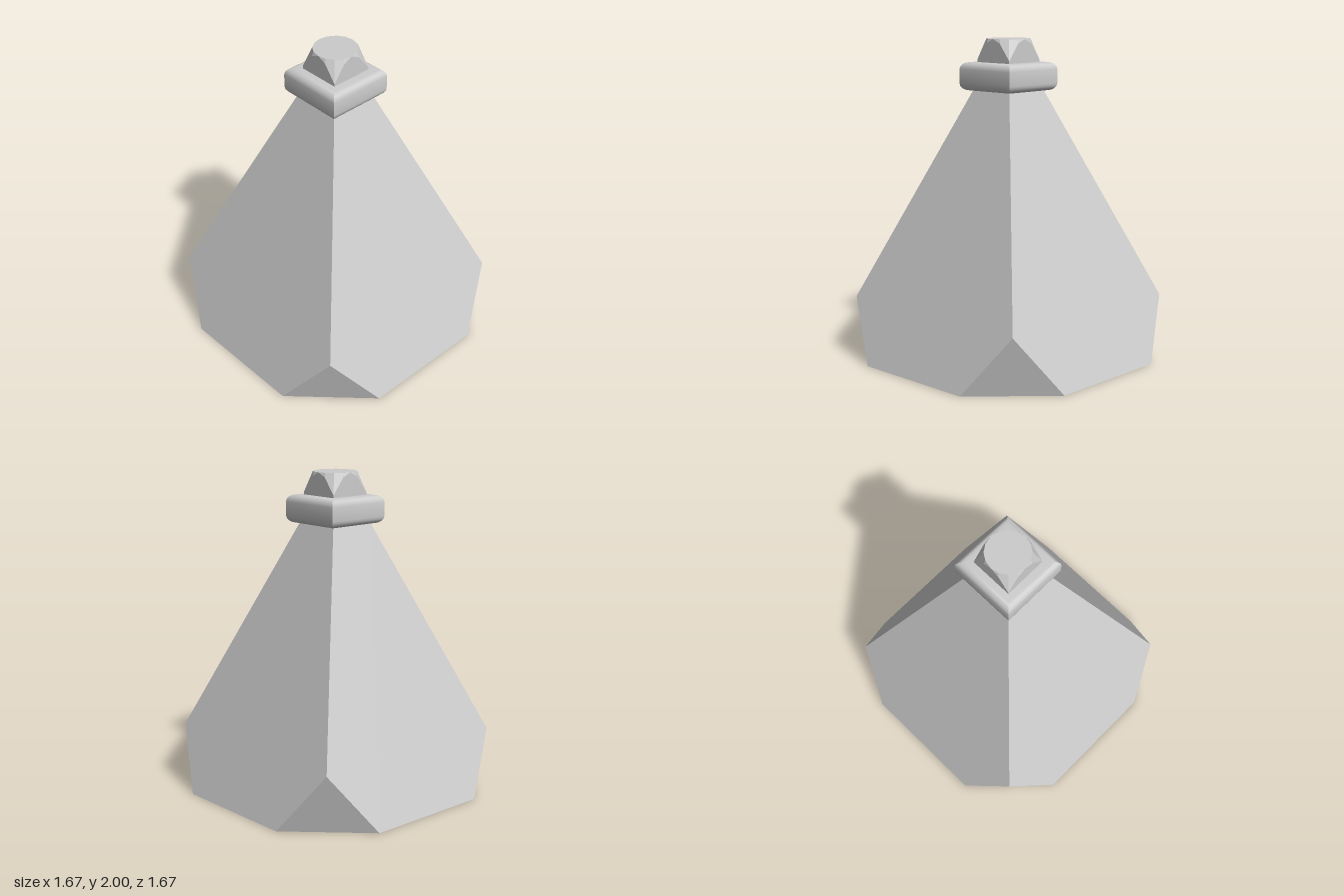
import * as THREE from 'three';
import { toCreasedNormals } from 'three/addons/utils/BufferGeometryUtils.js';

const material = new THREE.MeshStandardMaterial({ color: 0xcccccc });

// Fan of triangles over a convex polygon, corners counter-clockwise from outside
function addFace(out, ...points) {
  for (let i = 1; i < points.length - 1; i++) out.push(...points[0], ...points[i], ...points[i + 1]);
}

// Quarter turns about the vertical axis
function turn([x, y, z], quarter) {
  for (let i = 0; i < quarter; i++) [x, z] = [z, -x];
  return [x, y, z];
}

function meshFrom(positions, name) {
  const geometry = new THREE.BufferGeometry();
  geometry.setAttribute('position', new THREE.Float32BufferAttribute(positions, 3));
  geometry.computeVertexNormals();
  const mesh = new THREE.Mesh(geometry, material);
  mesh.name = name;
  return mesh;
}

// Tapered square body with its four lower corners cut off
function makeBody() {
  const half = 0.835, cut = 0.41, cornerX = 0.685, cornerY = 0.37, neck = 0.155, top = 1.68;
  const out = [], base = [], cap = [];
  for (let q = 0; q < 4; q++) {
    const t = (p) => turn(p, q);
    addFace(out, t([-cut, 0, half]), t([cut, 0, half]), t([cornerX, cornerY, cornerX]),
      t([neck, top, neck]), t([-neck, top, neck]), t([-cornerX, cornerY, cornerX]));
    addFace(out, t([cut, 0, half]), t([half, 0, cut]), t([cornerX, cornerY, cornerX]));
    base.push(t([-cut, 0, half]), t([cut, 0, half]));
    cap.push(t([neck, top, neck]));
  }
  addFace(out, ...base.reverse());
  addFace(out, ...cap);
  return meshFrom(out, 'body');
}

// Square collar: rounded profile, mitred at the corners
function makeCollar() {
  const half = 0.215, bottom = 1.68, top = 1.855, r = 0.045, steps = 4;
  const profile = [new THREE.Vector2(0, bottom)];
  for (const [cy, start] of [[bottom + r, -Math.PI / 2], [top - r, 0]]) {
    for (let i = 0; i <= steps; i++) {
      const a = start + (i / steps) * Math.PI / 2;
      profile.push(new THREE.Vector2((half - r + r * Math.cos(a)) * Math.SQRT2, cy + r * Math.sin(a)));
    }
  }
  profile.push(new THREE.Vector2(0, top));
  const lathe = new THREE.LatheGeometry(profile, 4, Math.PI / 4);
  const mesh = new THREE.Mesh(toCreasedNormals(lathe, Math.PI / 5), material);
  mesh.name = 'collar';
  return mesh;
}

// Square stopper whose top corners are turned down to a round flat
function makeStopper() {
  const half = 0.136, bottom = 1.85, top = 2, slope = 2.3, count = 16;
  const out = [], round = [], shoulder = [], foot = [];
  for (let i = 0; i < count; i++) {
    const a = (i / count) * Math.PI * 2, s = Math.sin(a), c = Math.cos(a);
    const reach = half / Math.max(Math.abs(s), Math.abs(c));
    round.push([half * s, top, half * c]);
    shoulder.push([reach * s, top - slope * (reach - half), reach * c]);
    foot.push([reach * s, bottom, reach * c]);
  }
  for (let i = 0; i < count; i++) {
    const j = (i + 1) % count;
    addFace(out, foot[i], foot[j], shoulder[j], shoulder[i]);
    addFace(out, shoulder[i], shoulder[j], round[j], round[i]);
  }
  addFace(out, ...round);
  addFace(out, ...foot.reverse());
  return meshFrom(out, 'stopper');
}

export function createModel() {
  const group = new THREE.Group();
  group.name = 'bottle';
  group.add(makeBody(), makeCollar(), makeStopper());
  return group;
}
